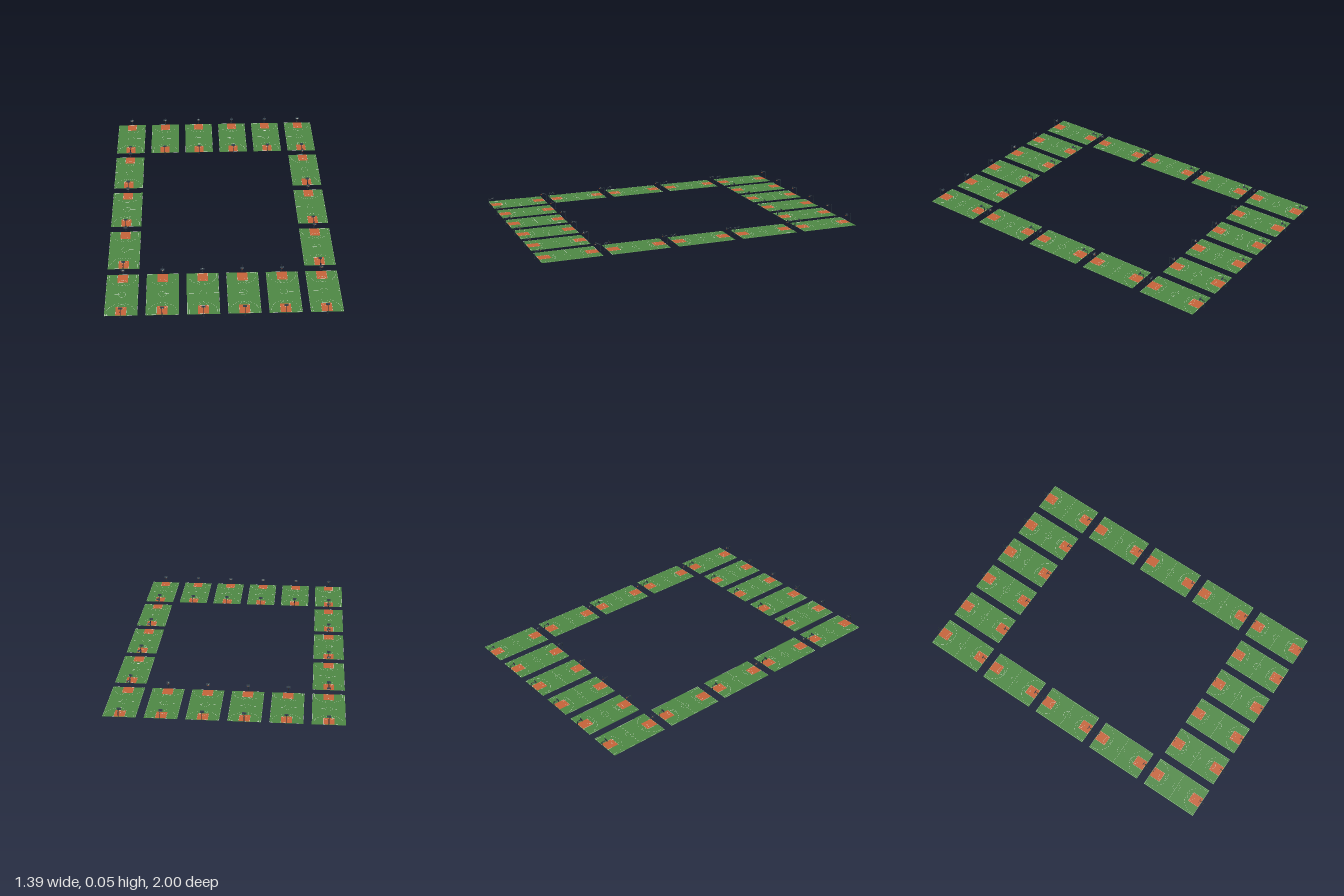
import * as THREE from 'three';

// One court, its end zones and the spacing of the layout
const W = 0.183, L = 0.345, PITCH_X = 0.2275, PITCH_Z = 0.3955;
const COLS = 6, ROWS = 5, TILT = 0.034;
const TOP = 0.001, LINE = 0.0008;
const KEY_W = 0.06, KEY_L = 0.069;

const paint = (color, double) => new THREE.MeshStandardMaterial({
  color, side: double ? THREE.DoubleSide : THREE.FrontSide,
});
const green = paint(0x4f8a45);
const orange = paint(0xc8653a, true);
const white = paint(0xd8e0d4, true);
const steel = paint(0x26323c);
const glass = paint(0x3c4a56);

function add(parent, name, geometry, material, x = 0, y = 0, z = 0) {
  const mesh = new THREE.Mesh(geometry, material);
  mesh.name = name;
  mesh.position.set(x, y, z);
  parent.add(mesh);
  return mesh;
}

// Flat painted rectangle and flat painted arc
const flat = (w, l) => new THREE.PlaneGeometry(w, l).rotateX(-Math.PI / 2);
const arc = (r, start, sweep, n = 24) =>
  new THREE.RingGeometry(r - LINE / 2, r + LINE / 2, n, 1, start, sweep).rotateX(-Math.PI / 2);

// Bar between two points
function bar(a, b, r) {
  const d = new THREE.Vector3().subVectors(b, a);
  const g = new THREE.CylinderGeometry(r, r, d.length(), 8);
  g.applyQuaternion(new THREE.Quaternion().setFromUnitVectors(
    new THREE.Vector3(0, 1, 0), d.clone().normalize()));
  return g.translate((a.x + b.x) / 2, (a.y + b.y) / 2, (a.z + b.z) / 2);
}

// Hoop: z = 0 is the baseline, +z points out of the court
function createHoop() {
  const hoop = new THREE.Group();
  hoop.name = 'hoop';
  const v = (x, y, z) => new THREE.Vector3(x, y, z);
  add(hoop, 'basePlate', new THREE.BoxGeometry(0.008, 0.001, 0.008), steel, 0, 0.0005, 0.0135);
  add(hoop, 'post', new THREE.CylinderGeometry(0.0018, 0.0022, 0.045, 8), steel, 0, 0.0225, 0.0145);
  add(hoop, 'arm', bar(v(0, 0.0445, 0.0145), v(0, 0.0445, -0.012), 0.0014), steel);
  add(hoop, 'brace', bar(v(0, 0.036, 0.0145), v(0, 0.0425, -0.012), 0.001), steel);
  add(hoop, 'backboard', new THREE.BoxGeometry(0.022, 0.0135, 0.001), glass, 0, 0.0442, -0.0125);
  // Target square frame on the face of the board
  for (const s of [-1, 1]) {
    add(hoop, 'targetSide', new THREE.BoxGeometry(0.0006, 0.0055, 0.0002), white, s * 0.0035, 0.0425, -0.0131);
    add(hoop, 'targetEdge', new THREE.BoxGeometry(0.0076, 0.0006, 0.0002), white, 0, 0.0425 + s * 0.0027, -0.0131);
  }
  add(hoop, 'rimBracket', new THREE.BoxGeometry(0.002, 0.001, 0.0026), orange, 0, 0.039, -0.0142);
  add(hoop, 'rim', new THREE.TorusGeometry(0.0029, 0.0004, 6, 16).rotateX(Math.PI / 2), orange, 0, 0.039, -0.0182);
  return hoop;
}

// Half of the markings, for the end at +z
function createEnd() {
  const end = new THREE.Group();
  end.name = 'courtEnd';
  const y = TOP + 0.0008, base = L / 2 - 0.002;
  add(end, 'key', flat(KEY_W, KEY_L), orange, 0, TOP + 0.0004, base - KEY_L / 2);
  for (const s of [-1, 1]) {
    add(end, 'keyLine', flat(LINE, KEY_L), white, s * KEY_W / 2, y, base - KEY_L / 2);
    add(end, 'cornerLine', flat(LINE, 0.036), white, s * 0.0785, y, base - 0.018);
    add(end, 'sideLine', flat(LINE, base), white, s * (W / 2 - 0.002), y, base / 2);
  }
  add(end, 'baseLine', flat(W - 0.004, LINE), white, 0, y, base);
  add(end, 'freeThrowLine', flat(KEY_W, LINE), white, 0, y, base - KEY_L);
  add(end, 'freeThrowCircle', arc(0.022, 0, Math.PI * 2), white, 0, y, base - KEY_L);
  // Arc centred on the rim, meeting the corner lines
  const open = Math.acos(0.0785 / 0.081);
  add(end, 'threePointArc', arc(0.081, open, Math.PI - 2 * open, 32), white, 0, y, base - 0.0163);
  const hoop = createHoop();
  hoop.position.z = L / 2;
  end.add(hoop);
  return end;
}

function createCourt() {
  const court = new THREE.Group();
  court.name = 'court';
  add(court, 'surface', new THREE.BoxGeometry(W, TOP, L), green, 0, TOP / 2, 0);
  add(court, 'halfwayLine', flat(W - 0.004, LINE), white, 0, TOP + 0.0008, 0);
  add(court, 'centreCircle', arc(0.022, 0, Math.PI * 2), white, 0, TOP + 0.0008, 0);
  const near = createEnd(), far = near.clone();
  far.rotation.y = Math.PI;
  court.add(near, far);
  return court;
}

export function createModel() {
  const model = new THREE.Group();
  model.name = 'courtRing';
  const layout = new THREE.Group();
  layout.name = 'courts';
  layout.rotation.y = TILT;
  model.add(layout);
  // Courts around the edge of the grid, open in the middle
  const court = createCourt();
  for (let r = 0; r < ROWS; r++) {
    for (let c = 0; c < COLS; c++) {
      if (r > 0 && r < ROWS - 1 && c > 0 && c < COLS - 1) continue;
      const copy = court.clone();
      copy.position.set((c - (COLS - 1) / 2) * PITCH_X, 0, (r - (ROWS - 1) / 2) * PITCH_Z);
      layout.add(copy);
    }
  }
  return model;
}
